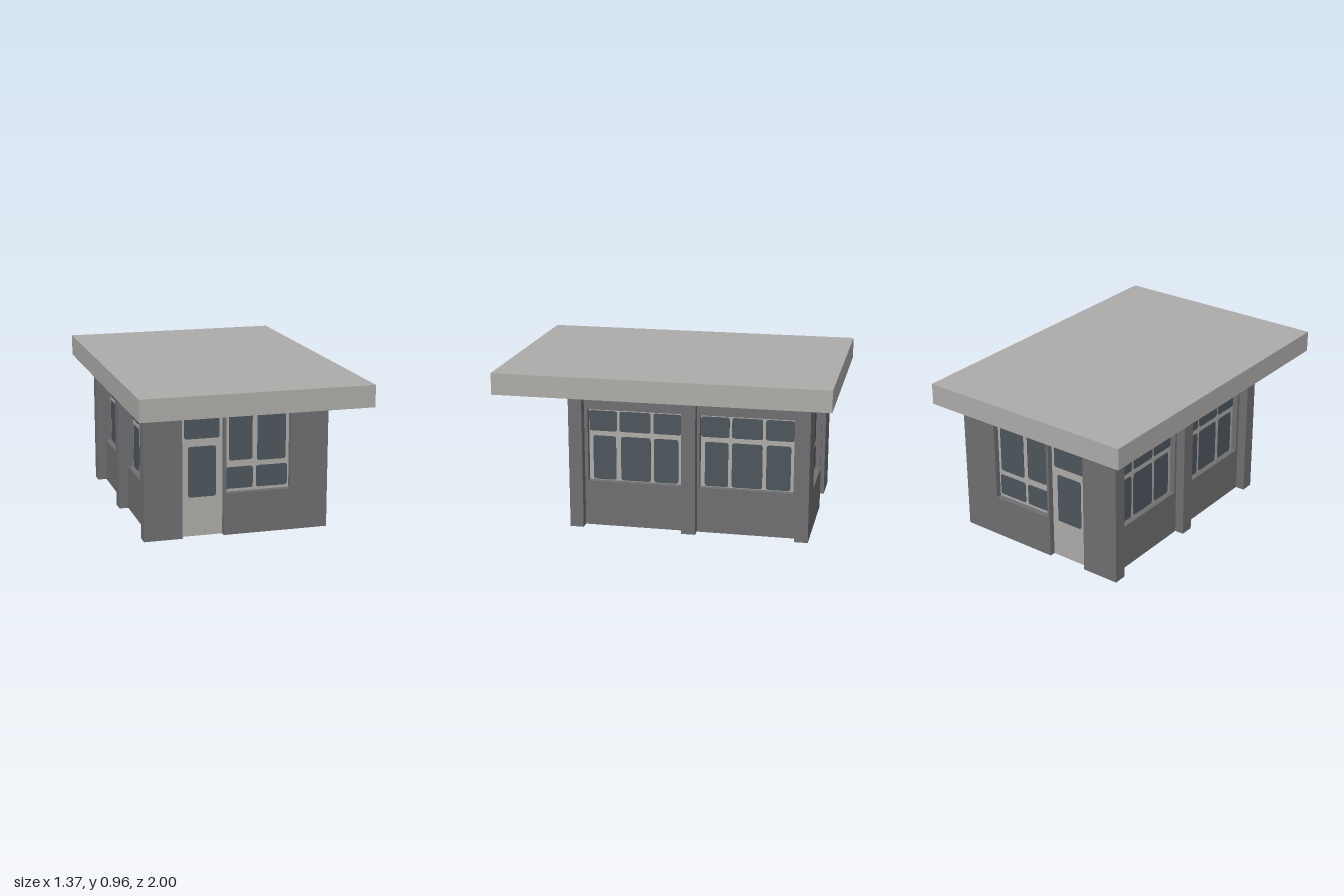
import * as THREE from 'three';

const mat = (name, color) => {
  const m = new THREE.MeshStandardMaterial({ color, side: THREE.DoubleSide });
  m.name = name;
  return m;
};

const H = 0.83;                        // wall height
const FRONT = 0.57, BACK = -0.87;      // end wall planes
const WALL_X = 0.51, PILLAR_X = 0.567; // side wall and pillar planes
const DEPTH = 0.035;                   // window and door recess

export function createModel() {
  const wallMat = mat('wall grey', 0x6f6f71);
  const paleMat = mat('pale grey', 0xadaca9);
  const glassMat = mat('glass', 0x4d565d);

  const add = (parent, name, geo, material, x = 0, y = 0, z = 0) => {
    const m = new THREE.Mesh(geo, material);
    m.name = name;
    m.position.set(x, y, z);
    parent.add(m);
    return m;
  };

  // Thin sheet wall with rectangular openings [u0, u1, y0, y1]
  function wall(parent, u0, u1, openings) {
    const rect = (Type, a, b, c, d) => {
      const p = new Type();
      p.moveTo(a, c); p.lineTo(b, c); p.lineTo(b, d); p.lineTo(a, d); p.closePath();
      return p;
    };
    const shape = rect(THREE.Shape, u0, u1, 0, H);
    for (const o of openings) shape.holes.push(rect(THREE.Path, ...o));
    add(parent, 'wall', new THREE.ShapeGeometry(shape), wallMat);
  }

  // Thin glass plate with rounded corners, showing on both sides
  function pane(parent, [u0, u1, y0, y1]) {
    const r = 0.016, s = new THREE.Shape();
    s.moveTo(u0 + r, y0);
    s.lineTo(u1 - r, y0); s.quadraticCurveTo(u1, y0, u1, y0 + r);
    s.lineTo(u1, y1 - r); s.quadraticCurveTo(u1, y1, u1 - r, y1);
    s.lineTo(u0 + r, y1); s.quadraticCurveTo(u0, y1, u0, y1 - r);
    s.lineTo(u0, y0 + r); s.quadraticCurveTo(u0, y0, u0 + r, y0);
    const g = new THREE.ExtrudeGeometry(s, { depth: 0.006, bevelEnabled: false, curveSegments: 4 });
    add(parent, 'pane', g, glassMat, 0, 0, -DEPTH - 0.003);
  }

  // Recessed panel: four reveals, pale backing and its panes
  function recess(parent, name, [u0, u1, y0, y1], panes) {
    const g = new THREE.Group();
    g.name = name;
    parent.add(g);
    const w = u1 - u0, h = y1 - y0, cu = (u0 + u1) / 2, cy = (y0 + y1) / 2;
    add(g, 'frame', new THREE.PlaneGeometry(w, h), paleMat, cu, cy, -DEPTH);
    for (const [u, turn] of [[u0, 1], [u1, -1]])
      add(g, 'reveal', new THREE.PlaneGeometry(DEPTH, h).rotateY(turn * Math.PI / 2), wallMat, u, cy, -DEPTH / 2);
    for (const [y, turn] of [[y0, -1], [y1, 1]])
      if (y > 0)
        add(g, 'reveal', new THREE.PlaneGeometry(w, DEPTH).rotateX(turn * Math.PI / 2), wallMat, cu, y, -DEPTH / 2);
    panes.forEach(p => pane(g, p));
  }

  // Flip a rectangle along the wall when it is seen from the other side
  const flip = (s, [a, b, c, d]) => s > 0 ? [a, b, c, d] : [-b, -a, c, d];

  const model = new THREE.Group();
  model.name = 'smallBuilding';

  // Roof slab and ceiling lamp under the front overhang
  add(model, 'roof', new THREE.BoxGeometry(1.37, 0.13, 2), paleMat, 0, 0.895, 0);
  const lamp = new THREE.SphereGeometry(0.08, 24, 8, 0, Math.PI * 2, Math.PI / 2, Math.PI / 2);
  add(model, 'lamp', lamp.scale(1, 0.32, 1), paleMat, 0.005, H, 0.78);

  // Front and back walls, each with a door and a four-pane window
  const door = [-0.333, -0.08, 0, 0.74];
  const doorPanes = [[-0.312, -0.098, 0.595, 0.725], [-0.29, -0.12, 0.24, 0.548]];
  const win = [-0.065, 0.332, 0.258, 0.74];
  const winPanes = [
    [-0.04, 0.105, 0.448, 0.738], [0.135, 0.312, 0.438, 0.738],
    [-0.063, 0.108, 0.275, 0.407], [0.128, 0.322, 0.275, 0.407],
  ];
  for (const s of [1, -1]) {
    const end = new THREE.Group();
    end.name = s > 0 ? 'frontWall' : 'backWall';
    end.position.z = s > 0 ? FRONT : BACK;
    end.rotation.y = s > 0 ? 0 : Math.PI;
    model.add(end);
    const f = r => flip(s, r);
    wall(end, -PILLAR_X, PILLAR_X, [f(door), f(win)]);
    recess(end, 'door', f(door), doorPanes.map(f));
    recess(end, 'window', f(win), winPanes.map(f));
  }

  // Side walls: two recessed window bays between three pillars (ranges in z)
  const pillars = [[0.488, FRONT], [-0.197, -0.112], [BACK, -0.788]];
  const bays = [
    { wall: [-0.112, 0.488], win: [-0.1, 0.467, 0.278, 0.725],
      top: [[0.295, 0.465], [0.09, 0.28], [-0.097, 0.073]],
      low: [[0.302, 0.442], [0.09, 0.272], [-0.077, 0.07]] },
    { wall: [-0.788, -0.197], win: [-0.772, -0.213, 0.278, 0.725],
      top: [[-0.385, -0.215], [-0.582, -0.4], [-0.768, -0.6]],
      low: [[-0.378, -0.238], [-0.582, -0.4], [-0.75, -0.605]] },
  ];
  for (const s of [1, -1]) {
    const side = new THREE.Group();
    side.name = s > 0 ? 'leftWall' : 'rightWall';
    side.position.x = s * WALL_X;
    side.rotation.y = s * Math.PI / 2;
    model.add(side);
    const f = r => flip(-s, r);
    for (const b of bays) {
      const w = f([...b.wall, 0, H]);
      wall(side, w[0], w[1], [f(b.win)]);
      const panes = [
        ...b.top.map(([a, c]) => [a, c, 0.585, 0.71]),
        ...b.low.map(([a, c]) => [a, c, 0.282, 0.555]),
      ];
      recess(side, 'sideWindow', f(b.win), panes.map(f));
    }
    // Pillars: a face sheet and two returns
    const out = PILLAR_X - WALL_X;
    for (const p of pillars) {
      const [a, b] = f([...p, 0, H]);
      add(side, 'pillarFace', new THREE.PlaneGeometry(b - a, H), wallMat, (a + b) / 2, H / 2, out);
      for (const [u, turn] of [[a, -1], [b, 1]]) {
        if (Math.abs(u) === FRONT || Math.abs(u) === -BACK) continue; // closed by the end walls
        add(side, 'pillarSide', new THREE.PlaneGeometry(out, H).rotateY(turn * Math.PI / 2), wallMat, u, H / 2, out / 2);
      }
    }
  }
  return model;
}
